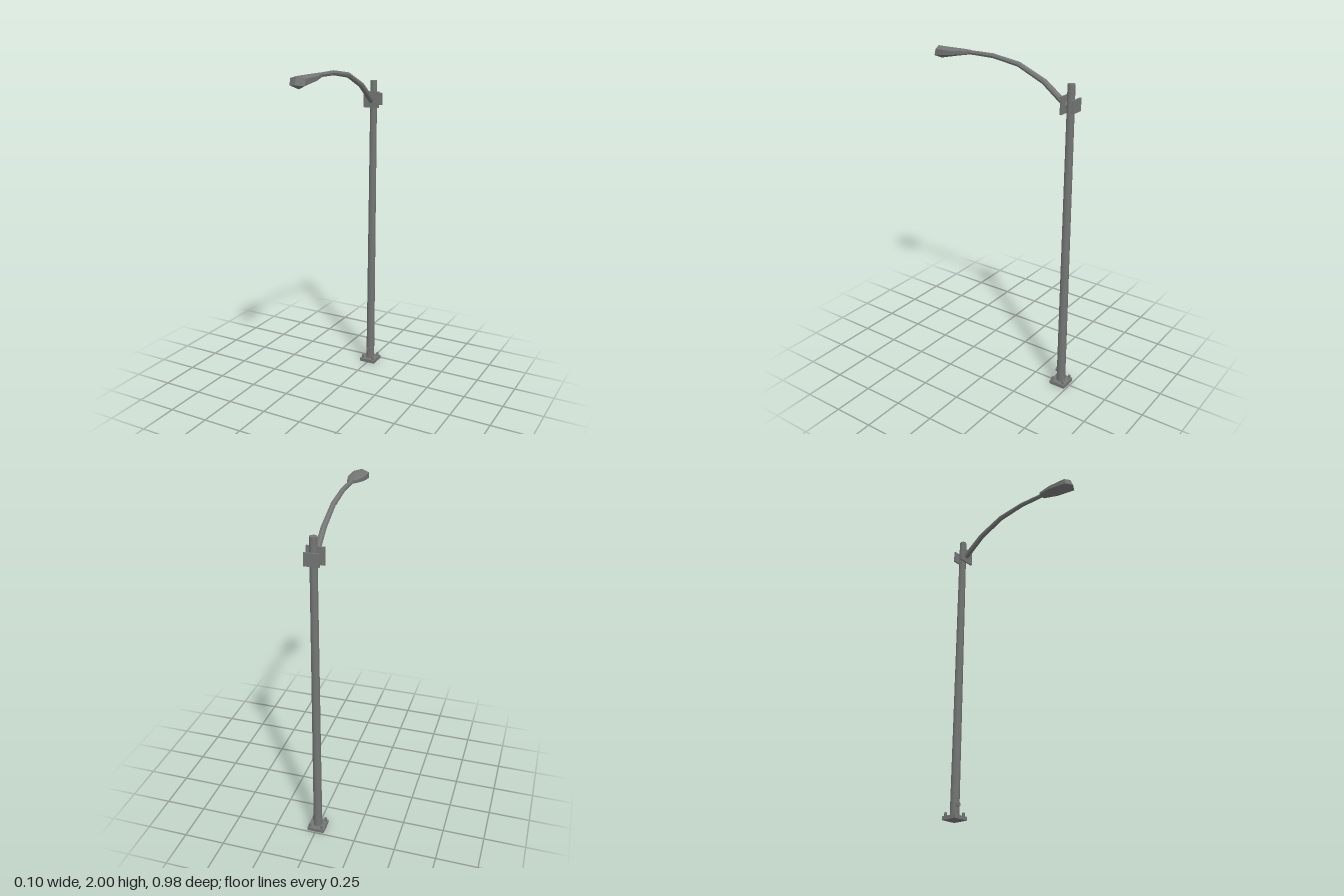
import * as THREE from 'three';
import { toCreasedNormals } from 'three/addons/utils/BufferGeometryUtils.js';

const POLE_Z = -0.438;

// Joins closed rings of points (listed anticlockwise seen from the end) into a skin.
function skin(rings, startCap, endCap) {
  const n = rings[0].length;
  const pos = [];
  const tri = (a, b, c) => pos.push(...a, ...b, ...c);
  for (let r = 0; r < rings.length - 1; r++) {
    for (let i = 0; i < n; i++) {
      const j = (i + 1) % n;
      const [a, b, c, d] = [rings[r][i], rings[r][j], rings[r + 1][j], rings[r + 1][i]];
      tri(a, b, c);
      tri(a, c, d);
    }
  }
  const last = rings[rings.length - 1];
  for (let i = 0; i < n; i++) {
    const j = (i + 1) % n;
    tri(startCap, rings[0][j], rings[0][i]);
    tri(endCap, last[i], last[j]);
  }
  const geo = new THREE.BufferGeometry();
  geo.setAttribute('position', new THREE.Float32BufferAttribute(pos, 3));
  return toCreasedNormals(geo, 0.6);
}

export function createModel() {
  const model = new THREE.Group();
  model.name = 'streetLight';
  const metal = new THREE.MeshStandardMaterial({ color: 0x757776 });
  metal.name = 'grey metal';

  const add = (name, geo, x, y, z) => {
    const mesh = new THREE.Mesh(geo, metal);
    mesh.name = name;
    mesh.position.set(x, y, z);
    model.add(mesh);
    return mesh;
  };

  // Base plate with four anchor bolts
  add('basePlate', new THREE.BoxGeometry(0.104, 0.022, 0.104), 0, 0.011, POLE_Z);
  for (const sx of [-1, 1]) {
    for (const sz of [-1, 1]) {
      add('anchorBolt', new THREE.CylinderGeometry(0.008, 0.008, 0.024, 8),
        sx * 0.037, 0.033, POLE_Z + sz * 0.037);
    }
  }

  // Tapered pole and its access cover
  add('pole', new THREE.CylinderGeometry(0.022, 0.028, 1.88, 8), 0, 0.96, POLE_Z);
  const cover = add('accessCover', new THREE.CylinderGeometry(0.016, 0.016, 0.012, 8),
    0, 0.09, POLE_Z + 0.026);
  cover.rotation.x = Math.PI / 2;

  // Clamp plates either side of the pole
  add('frontClampPlate', new THREE.BoxGeometry(0.104, 0.1, 0.01), 0, 1.786, -0.406);
  add('backClampPlate', new THREE.BoxGeometry(0.086, 0.074, 0.01), 0, 1.785, -0.472);

  // Bent arm: octagonal rings along a short path, tapering to the lamp
  const path = [[1.775, -0.415], [1.887, -0.268], [1.960, -0.100], [1.986, 0.075], [1.986, 0.25]]
    .map(([y, z]) => new THREE.Vector3(0, y, z));
  const rings = path.map((p, k) => {
    const t = path[Math.min(k + 1, path.length - 1)].clone()
      .sub(path[Math.max(k - 1, 0)]).normalize();
    const radius = 0.0185 - 0.0015 * k;
    return Array.from({ length: 8 }, (_, i) => {
      const a = (i / 8) * Math.PI * 2;
      const u = Math.sin(a) * radius;
      return [Math.cos(a) * radius, p.y + u * t.z, p.z - u * t.y];
    });
  });
  add('arm', skin(rings, path[0].toArray(), path[4].toArray()), 0, 0, 0);

  // Lamp head: six-sided sections [half width, top, shoulder, lower side, keel, z of each]
  const section = (w, top, shoulder, low, keel, zTop, zShoulder, zLow, zKeel) => [
    [0, top, zTop], [-w, shoulder, zShoulder], [-w, low, zLow],
    [0, keel, zKeel], [w, low, zLow], [w, shoulder, zShoulder],
  ];
  const head = [
    section(0.025, 1.999, 1.994, 1.978, 1.972, 0.243, 0.243, 0.243, 0.243),
    section(0.047, 2.0, 1.989, 1.967, 1.954, 0.335, 0.335, 0.335, 0.335),
    section(0.047, 2.0, 1.987, 1.95, 1.93, 0.468, 0.453, 0.463, 0.447),
  ];
  add('lampHead', skin(head, [0, 1.986, 0.243], [0, 1.953, 0.487]), 0, 0, 0);

  return model;
}
